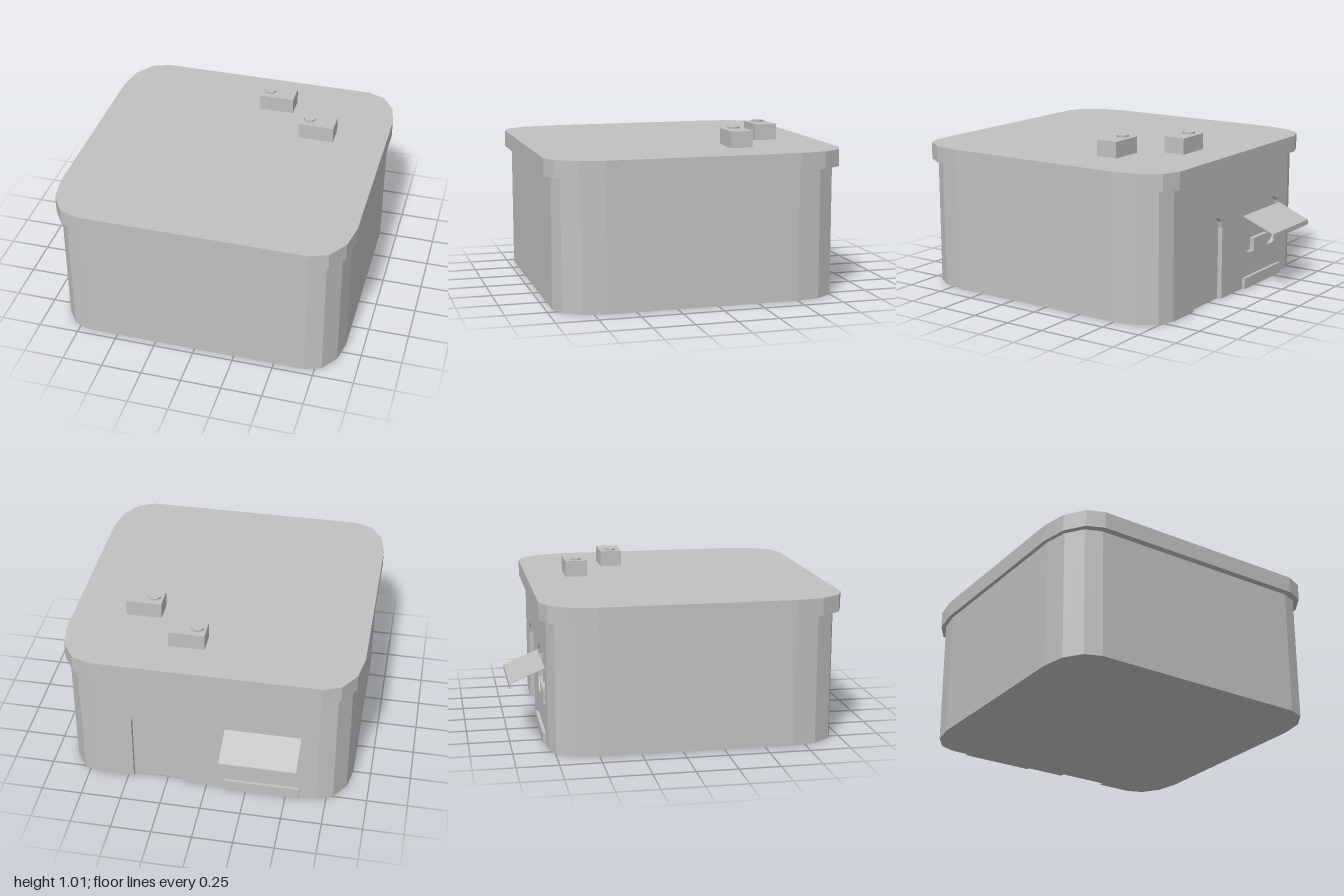
import * as THREE from 'three';

const grey = new THREE.MeshStandardMaterial({ color: 0xc0c0c0 });
grey.name = 'concrete grey';

const CZ = 0.0875;              // centre of the building along z
const BACK = -0.785, INNER = -0.755; // outer back wall and recess depth
const WALL_TOP = 0.8;

// Rounded rectangle, counter-clockwise seen from above; point y is -z
function outline(hx, hz, rx, rz) {
  const pts = [];
  [[1, 1], [-1, 1], [-1, -1], [1, -1]].forEach(([sx, sy], c) => {
    for (let i = 0; i <= 3; i++) {
      const a = (c + i / 3) * Math.PI / 2;
      pts.push(new THREE.Vector2(
        sx * (hx - rx) + rx * Math.cos(a),
        sy * (hz - rz) + rz * Math.sin(a) - CZ));
    }
  });
  return pts;
}

// Quarter-circle points for a rounded corner
function corner(cx, cy, r, from, to) {
  return [0, 1, 2, 3].map((i) => {
    const a = from + (to - from) * i / 3;
    return new THREE.Vector2(cx + r * Math.cos(a), cy + r * Math.sin(a));
  });
}

export function createModel() {
  const group = new THREE.Group();
  const add = (name, geo) => {
    const mesh = new THREE.Mesh(geo, grey);
    mesh.name = name;
    group.add(mesh);
    return mesh;
  };
  const box = (name, x0, x1, y0, y1, z0, z1) =>
    add(name, new THREE.BoxGeometry(x1 - x0, y1 - y0, z1 - z0)
      .translate((x0 + x1) / 2, (y0 + y1) / 2, (z0 + z1) / 2));

  // Front, side and corner walls; the flat back span (3 to 4) stays open
  const plan = outline(0.89, 0.8725, 0.2, 0.285);
  const pos = [];
  plan.forEach((a, i) => {
    if (i === 3) return;
    const b = plan[(i + 1) % plan.length];
    const a0 = [a.x, 0, -a.y], a1 = [a.x, WALL_TOP, -a.y];
    const b0 = [b.x, 0, -b.y], b1 = [b.x, WALL_TOP, -b.y];
    pos.push(...a0, ...b0, ...b1, ...a0, ...b1, ...a1);
  });
  const walls = new THREE.BufferGeometry();
  walls.setAttribute('position', new THREE.Float32BufferAttribute(pos, 3));
  walls.computeVertexNormals();
  add('walls', walls);

  // Back wall with a doorway cut from the ground and a serving window
  const PI = Math.PI, W = 0.69, r = 0.08;
  const d0 = 0.14, d1 = 0.465, top = 0.53;
  const back = new THREE.Shape([
    new THREE.Vector2(-W, 0), new THREE.Vector2(d0, 0),
    ...corner(d0 + r, top - r, r, PI, PI / 2),
    ...corner(d1 - r, top - r, r, PI / 2, 0),
    new THREE.Vector2(d1, 0), new THREE.Vector2(W, 0),
    new THREE.Vector2(W, WALL_TOP), new THREE.Vector2(-W, WALL_TOP),
  ]);
  const w0 = -0.575, w1 = -0.13, sill = 0.22, notch = 0.3;
  back.holes.push(new THREE.Path([
    ...corner(w0 + r, sill + r, r, PI, 1.5 * PI),
    new THREE.Vector2(-0.44, sill), new THREE.Vector2(-0.44, notch),
    new THREE.Vector2(-0.26, notch), new THREE.Vector2(-0.26, sill),
    ...corner(w1 - r, sill + r, r, -PI / 2, 0),
    ...corner(w1 - r, top - r, r, 0, PI / 2),
    ...corner(w0 + r, top - r, r, PI / 2, PI),
  ]));
  add('backWall', new THREE.ExtrudeGeometry(back, { depth: INNER - BACK, bevelEnabled: false })
    .translate(0, 0, BACK));

  // Door and window panels at the bottom of the recesses
  add('recessPanel', new THREE.PlaneGeometry(2 * W, WALL_TOP)
    .rotateY(PI).translate(0, WALL_TOP / 2, INNER));

  // Floor, set in behind the back wall
  const floorPts = plan.map((p) => new THREE.Vector2(p.x, -p.y));
  floorPts.splice(4, 0, new THREE.Vector2(W, INNER), new THREE.Vector2(-W, INNER));
  add('floor', new THREE.ShapeGeometry(new THREE.Shape(floorPts)).rotateX(PI / 2));

  // Overhanging roof slab
  add('roof', new THREE.ExtrudeGeometry(
    new THREE.Shape(outline(0.915, 0.915, 0.215, 0.325)),
    { depth: 0.105, bevelEnabled: false }).rotateX(-PI / 2).translate(0, 0.795, 0));

  // Roof units, each with a hexagonal cap
  [[0.042, -0.58], [0.365, -0.31]].forEach(([x, z]) => {
    box('roofUnit', x, x + 0.223, 0.9, 1.0, z, z + 0.138);
    add('roofUnitCap', new THREE.CylinderGeometry(0.038, 0.038, 0.012, 6)
      .toNonIndexed().rotateY(PI / 6).translate(x + 0.056, 1.006, z + 0.069));
  });

  // Sloping awning with a front lip, and a ledge at ground level
  const run = 0.21, drop = 0.087;
  const awning = add('awning', new THREE.BoxGeometry(0.468, 0.004, Math.hypot(run, drop)));
  awning.position.set(-0.35, 0.471 - drop / 2, BACK - run / 2);
  awning.rotation.x = -Math.atan2(drop, run);
  box('awningLip', -0.584, -0.116, 0.354, 0.385, -1.0, -0.992);
  box('ledge', -0.584, -0.116, 0, 0.07, -0.805, BACK);

  return group;
}
